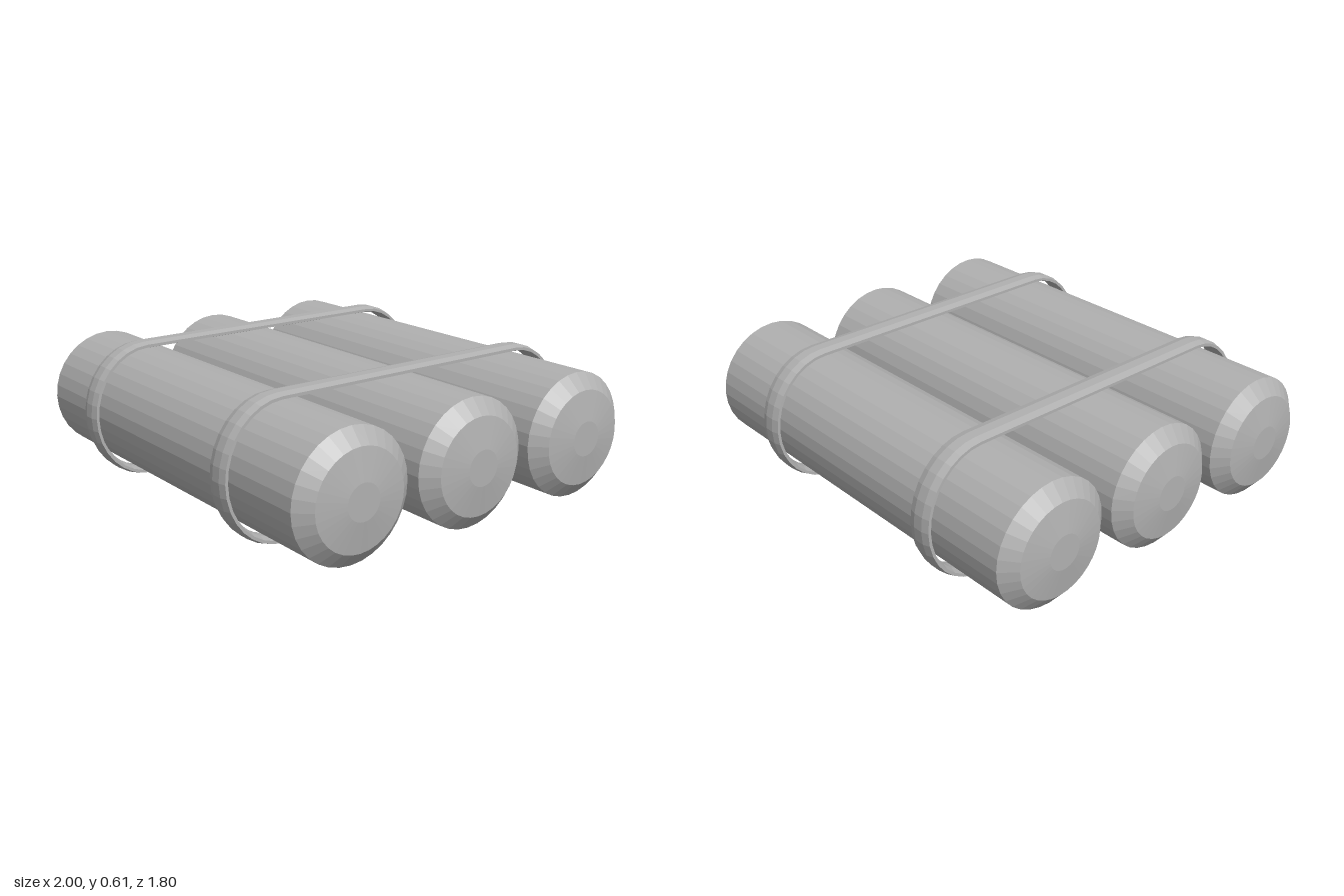
import * as THREE from 'three';

const AXIS_Y = 0.306; // height of the cylinder axes

// Solid bar with stepped, chamfered ends, lying along x
function barGeometry() {
  const half = [[0, 1], [0.075, 1], [0.205, 0.98], [0.27, 0.925]];
  const profile = [
    ...half.map(([r, h]) => new THREE.Vector2(r, -h)),
    ...half.slice().reverse().map(([r, h]) => new THREE.Vector2(r, h)),
  ];
  return new THREE.LatheGeometry(profile, 32).rotateZ(-Math.PI / 2);
}

// Closed band: an eight-sided flattened section swept round a stadium path
function strapGeometry() {
  const arcSteps = 16, sides = 8;
  const stations = [];
  for (const side of [1, -1]) {
    for (let i = 0; i <= arcSteps; i++) {
      const a = -Math.PI / 2 + (Math.PI * i) / arcSteps + (side < 0 ? Math.PI : 0);
      stations.push({ z: side * 0.625 + 0.26 * Math.cos(a), y: 0.29 * Math.sin(a), a });
    }
  }
  const positions = [], indices = [];
  stations.forEach(({ z, y, a }, i) => {
    const next = (i + 1) % stations.length;
    for (let j = 0; j < sides; j++) {
      const t = ((j + 0.5) / sides) * Math.PI * 2;
      const across = 0.058 * Math.cos(t), out = 0.0165 * Math.sin(t);
      positions.push(across, y + out * Math.sin(a), z + out * Math.cos(a));
      const k = (j + 1) % sides;
      const p = i * sides + j, q = next * sides + j;
      const r = i * sides + k, s = next * sides + k;
      indices.push(p, q, r, q, s, r);
    }
  });
  const geometry = new THREE.BufferGeometry();
  geometry.setAttribute('position', new THREE.Float32BufferAttribute(positions, 3));
  geometry.setIndex(indices);
  geometry.computeVertexNormals();
  return geometry;
}

export function createModel() {
  const group = new THREE.Group();
  group.name = 'strappedBars';
  const grey = new THREE.MeshStandardMaterial({ color: 0xb0b0b0, flatShading: true });
  grey.name = 'grey';

  const add = (name, geometry, x, z) => {
    const mesh = new THREE.Mesh(geometry, grey);
    mesh.name = name;
    mesh.position.set(x, AXIS_Y, z);
    group.add(mesh);
  };

  // Three parallel bars
  const bar = barGeometry();
  add('backBar', bar, 0, -0.593);
  add('middleBar', bar, 0, 0);
  add('frontBar', bar, 0, 0.593);

  // Two straps binding them
  const strap = strapGeometry();
  add('rightStrap', strap, -0.525, 0);
  add('leftStrap', strap, 0.5, 0);

  return group;
}
